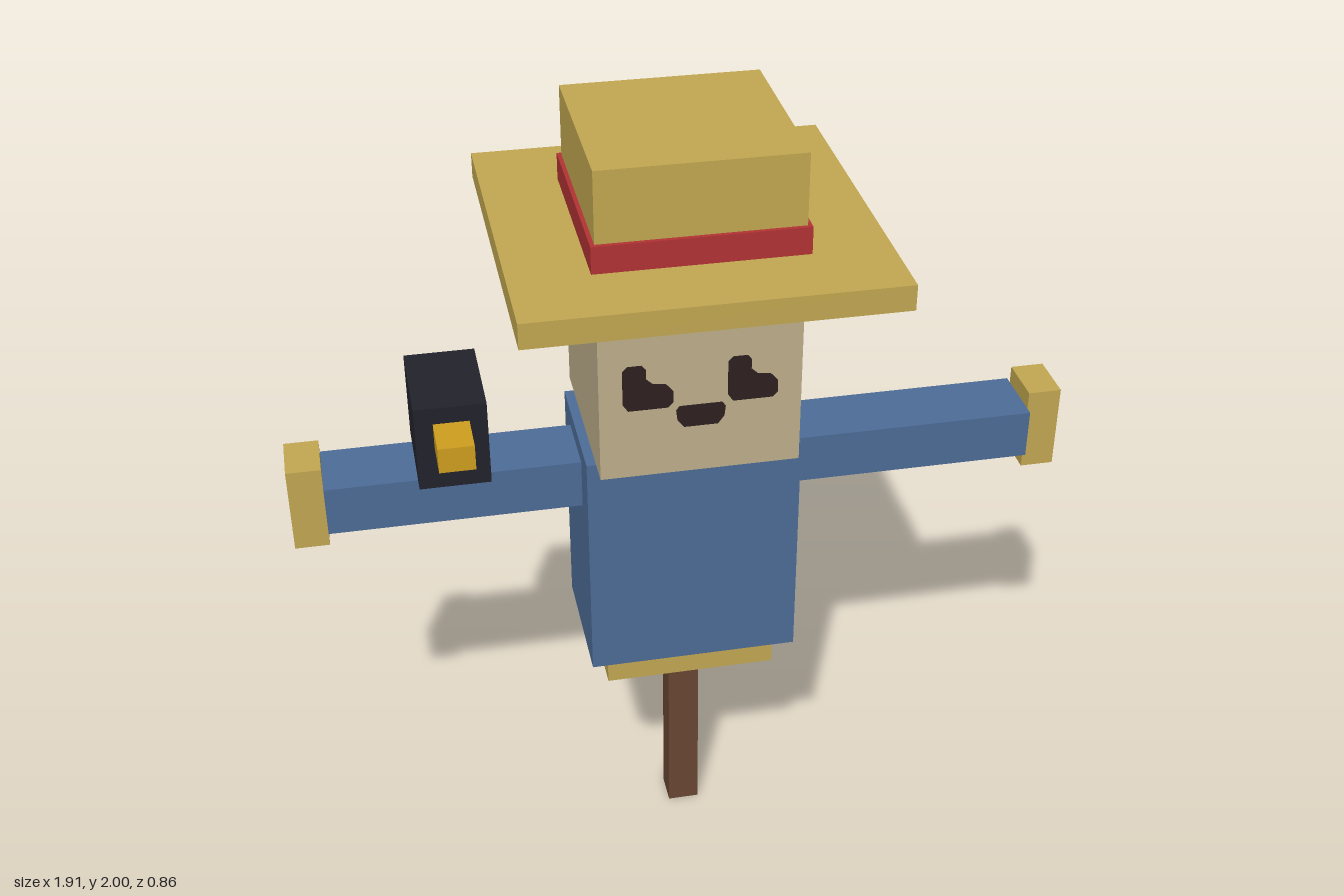
import * as THREE from 'three';

const material = (name, color) => {
  const m = new THREE.MeshStandardMaterial({ color });
  m.name = name;
  return m;
};

export function createModel() {
  const straw = material('straw', 0xc4a952);
  const cloth = material('blueCloth', 0x4e6d98);
  const sack = material('sackcloth', 0xbfb08d);
  const wood = material('wood', 0x694733);
  const red = material('redRibbon', 0xb33334);
  const feather = material('blackFeather', 0x22222c);
  const gold = material('goldBeak', 0xd0a01e);
  const ink = material('darkStitch', 0x2e2120);

  const model = new THREE.Group();
  model.name = 'scarecrow';

  // Box from its minimum and maximum corners
  const box = (name, mat, [x0, y0, z0], [x1, y1, z1], parent = model) => {
    const mesh = new THREE.Mesh(new THREE.BoxGeometry(x1 - x0, y1 - y0, z1 - z0), mat);
    mesh.position.set((x0 + x1) / 2, (y0 + y1) / 2, (z0 + z1) / 2);
    mesh.name = name;
    parent.add(mesh);
  };
  // Box centred on the post
  const block = (name, mat, halfX, y0, y1, halfZ = halfX) =>
    box(name, mat, [-halfX, y0, -halfZ], [halfX, y1, halfZ]);

  // Post, body and head
  block('post', wood, 0.04, 0, 0.525);
  block('strawHem', straw, 0.215, 0.525, 0.612, 0.13);
  block('torso', cloth, 0.26, 0.612, 1.22, 0.173);
  block('head', sack, 0.237, 1.22, 1.7);

  // Hat
  block('hatBrim', straw, 0.432, 1.7, 1.762);
  block('hatBand', red, 0.247, 1.762, 1.828);
  block('hatCrown', straw, 0.237, 1.828, 2);

  // Arms and straw hands
  for (const [side, s] of [['left', 1], ['right', -1]]) {
    const span = (a, b) => (s > 0 ? [a, b] : [-b, -a]);
    const [a0, a1] = span(0.26, 0.872);
    const [h0, h1] = span(0.872, 0.955);
    box(side + 'Arm', cloth, [a0, 1.05, -0.086], [a1, 1.175, 0.086]);
    box(side + 'Hand', straw, [h0, 1.005, -0.066], [h1, 1.22, 0.066]);
  }

  // Bird perched on the right arm
  const bird = new THREE.Group();
  bird.name = 'bird';
  model.add(bird);
  box('birdBody', feather, [-0.65, 1.175, -0.13], [-0.48, 1.392, 0.126], bird);
  box('birdBeak', gold, [-0.607, 1.286, 0.126], [-0.522, 1.35, 0.235], bird);

  // Face patches: thin plates on the front of the head
  const patch = (name, points, x, y) => {
    const shape = new THREE.Shape(points.map(([px, py]) => new THREE.Vector2(px, py)));
    const geometry = new THREE.ExtrudeGeometry(shape, { depth: 0.004, bevelEnabled: false });
    const mesh = new THREE.Mesh(geometry, ink);
    mesh.position.set(x, y, 0.236);
    mesh.name = name;
    model.add(mesh);
  };
  const eye = [
    [0, 0.018], [0.012, 0], [0.105, 0], [0.117, 0.012], [0.117, 0.042], [0.1, 0.062],
    [0.07, 0.065], [0.054, 0.08], [0.054, 0.105], [0.045, 0.116], [0.012, 0.116], [0, 0.104],
  ];
  patch('rightEye', eye, -0.182, 1.4);
  patch('leftEye', eye, 0.063, 1.4);
  patch('mouth', [
    [-0.04, 0], [0.04, 0], [0.055, 0.02], [0.058, 0.045],
    [0.05, 0.056], [-0.05, 0.056], [-0.058, 0.045], [-0.055, 0.02],
  ], 0, 1.343);

  return model;
}
